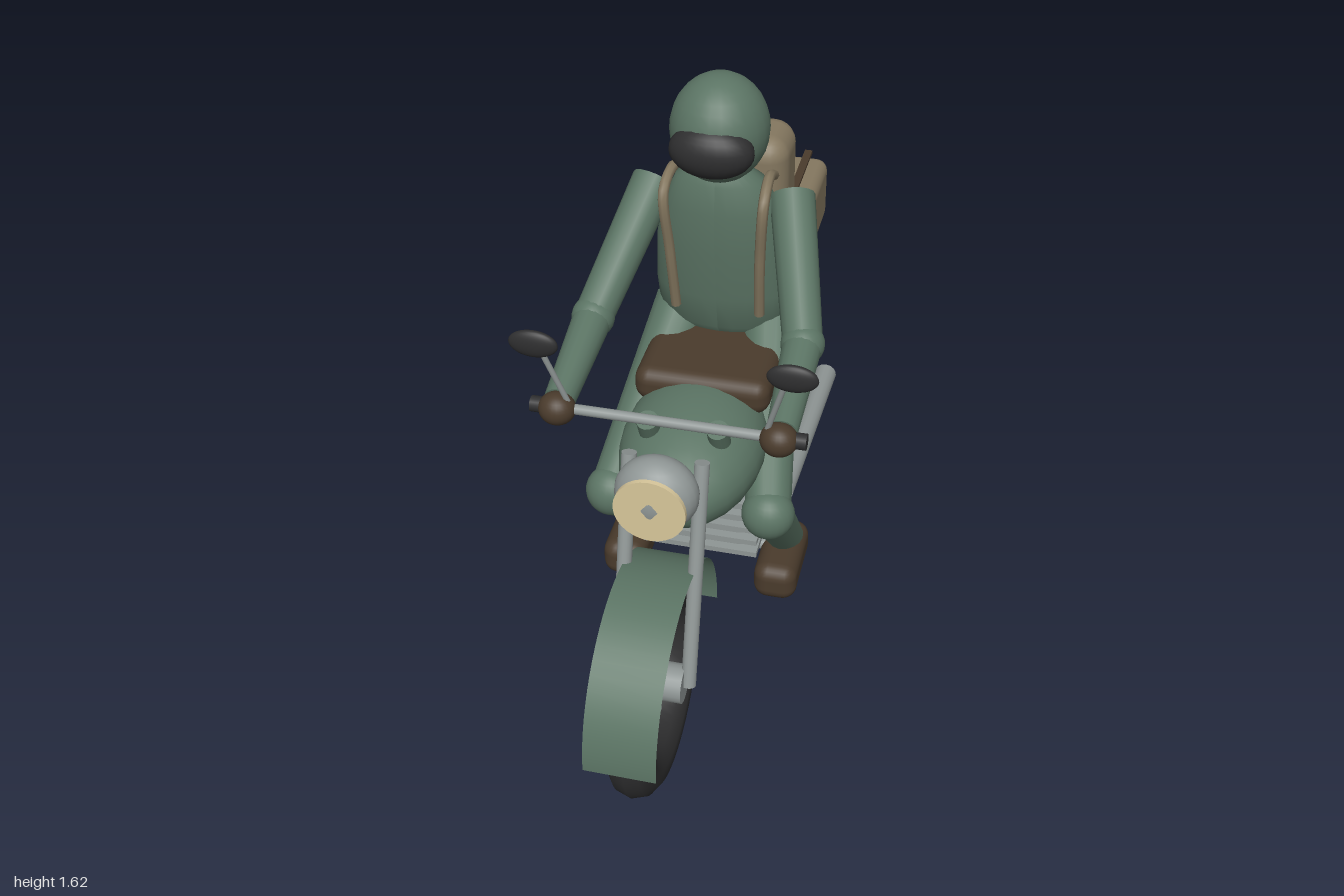
import * as THREE from 'three';
import { RoundedBoxGeometry } from 'three/addons/geometries/RoundedBoxGeometry.js';

const mat = (name, color, side = THREE.FrontSide) => {
  const m = new THREE.MeshStandardMaterial({ color, side });
  m.name = name;
  return m;
};

export function createModel() {
  const green = mat('green', 0x5b7464, THREE.DoubleSide);
  const tan = mat('tan', 0x857860);
  const brown = mat('brown', 0x4a3b2c);
  const black = mat('black', 0x2e2e2f);
  const steel = mat('steel', 0x8f9695);
  const cream = mat('cream', 0xd8c79b);
  const red = mat('red', 0xb03020);

  const model = new THREE.Group();
  model.name = 'motorcycleAndRider';
  const V = (p) => new THREE.Vector3(...p);

  const add = (name, geo, material, pos = [0, 0, 0], parent = model) => {
    const m = new THREE.Mesh(geo, material);
    m.name = name;
    m.position.set(...pos);
    parent.add(m);
    return m;
  };
  const box = (name, size, r, material, pos) =>
    add(name, new RoundedBoxGeometry(...size, 3, r), material, pos);
  const ball = (name, radii, material, pos) =>
    add(name, new THREE.SphereGeometry(1, 24, 16).scale(...radii), material, pos);
  // Tapered rod from a (radius ra) to b (radius rb)
  const rod = (name, a, b, ra, rb, material, parent = model, sides = 16) => {
    const d = V(b).sub(V(a));
    const m = add(name, new THREE.CylinderGeometry(rb, ra, d.length(), sides), material, [0, 0, 0], parent);
    m.position.copy(V(a).addScaledVector(d, 0.5));
    m.quaternion.setFromUnitVectors(new THREE.Vector3(0, 1, 0), d.normalize());
    return m;
  };

  // Wheels with spokes, hubs and half-round fenders
  for (const [label, z] of [['front', 0.68], ['rear', -0.68]]) {
    const wheel = new THREE.Group();
    wheel.name = label + 'Wheel';
    wheel.position.set(0, 0.3, z);
    model.add(wheel);
    add('tyre', new THREE.TorusGeometry(0.236, 0.06, 10, 48).rotateY(Math.PI / 2), black, [0, 0, 0], wheel);
    add('hub', new THREE.CylinderGeometry(0.05, 0.05, 0.16, 20).rotateZ(Math.PI / 2), steel, [0, 0, 0], wheel);
    for (let i = 0; i < 20; i++) {
      const t = (i / 20) * Math.PI * 2;
      const c = Math.cos(t), s = Math.sin(t);
      rod('spoke', [0, c * 0.04, s * 0.04], [0, c * 0.19, s * 0.19], 0.004, 0.004, steel, wheel, 6);
    }
    add(label + 'Fender',
      new THREE.CylinderGeometry(0.32, 0.32, 0.18, 28, 1, true, 0, Math.PI).rotateZ(Math.PI / 2),
      green, [0, 0.3, z]);
  }

  // Headlight
  ball('headlightShell', [0.103, 0.1, 0.075], steel, [0, 0.85, 0.605]);
  add('headlightLens', new THREE.CylinderGeometry(0.088, 0.088, 0.012, 28).rotateX(Math.PI / 2),
    cream, [0, 0.85, 0.672]);

  // Tank and its caps
  ball('tank', [0.188, 0.142, 0.275], green, [0, 0.715, 0.24]).rotation.x = 0.08;

  // Seat and luggage
  box('seat', [0.36, 0.1, 0.7], 0.04, brown, [0, 0.825, -0.17]);
  box('topBox', [0.35, 0.195, 0.295], 0.035, tan, [0, 0.975, -0.578]);
  box('backpack', [0.305, 0.38, 0.19], 0.06, tan, [0, 1.21, -0.235]);
  box('backpackPocket', [0.215, 0.155, 0.06], 0.025, brown, [0, 1.137, -0.342]);

  // Engine with cooling fins
  box('engineBlock', [0.27, 0.27, 0.29], 0.035, steel, [0, 0.425, 0.02]);
  for (let i = 0; i < 6; i++)
    add('coolingFin', new THREE.BoxGeometry(0.32, 0.016, 0.23), steel, [0, 0.315 + i * 0.042, 0.075]);
  rod('footPegBar', [-0.18, 0.265, 0.08], [0.18, 0.265, 0.08], 0.018, 0.018, steel);

  // Tail light, number plate and exhaust
  add('tailLight', new THREE.BoxGeometry(0.12, 0.07, 0.036), red, [0, 0.675, -0.64]);
  add('rearPlate', new THREE.BoxGeometry(0.14, 0.085, 0.006), steel, [0, 0.533, -0.8]);
  rod('exhaust', [0.19, 0.35, -0.05], [0.2, 0.318, -0.69], 0.026, 0.034, steel);

  // Handlebar
  rod('handlebar', [-0.3, 0.98, 0.5], [0.3, 0.98, 0.5], 0.013, 0.013, steel);

  // Rider's torso: a flattened lathe leaning forward
  const profile = [[0, 0.82], [0.12, 0.84], [0.18, 0.9], [0.185, 1.0], [0.175, 1.15],
    [0.15, 1.26], [0.115, 1.34], [0.06, 1.38], [0, 1.385]];
  const torso = new THREE.LatheGeometry(profile.map((p) => new THREE.Vector2(...p)), 28);
  const tp = torso.attributes.position;
  for (let i = 0; i < tp.count; i++)
    tp.setZ(i, tp.getZ(i) * 0.6 - 0.14 + (tp.getY(i) - 0.9) * 0.17);
  torso.computeVertexNormals();
  add('torso', torso, green);

  // Helmet and visor
  ball('helmet', [0.125, 0.14, 0.13], green, [0, 1.48, -0.055]);
  ball('visor', [0.107, 0.07, 0.062], black, [0, 1.46, 0.037]);

  // Mirrored parts
  for (const s of [1, -1]) {
    const side = s > 0 ? 'left' : 'right';
    const X = (x, y, z) => [s * x, y, z];

    // Bike
    rod(side + 'Fork', X(0.09, 0.3, 0.68), X(0.09, 0.89, 0.52), 0.019, 0.019, steel);
    rod(side + 'Shock', X(0.11, 0.31, -0.67), X(0.11, 0.77, -0.34), 0.018, 0.018, steel);
    rod(side + 'Swingarm', X(0.105, 0.35, -0.06), X(0.105, 0.315, -0.69), 0.036, 0.028, steel);
    rod(side + 'TankCap', X(0.09, 0.78, 0.32), X(0.09, 0.865, 0.358), 0.028, 0.028, green);
    rod(side + 'Grip', X(0.25, 0.98, 0.5), X(0.336, 0.98, 0.5), 0.02, 0.02, black);
    rod(side + 'MirrorStem', X(0.235, 0.98, 0.5), X(0.288, 1.17, 0.54), 0.007, 0.007, steel);
    ball(side + 'Mirror', [0.06, 0.036, 0.017], black, X(0.304, 1.187, 0.542));
    add(side + 'LuggageStrap', new THREE.BoxGeometry(0.022, 0.012, 0.305), brown, X(0.112, 1.075, -0.58));

    // Arm and glove
    rod(side + 'UpperArm', X(0.18, 1.29, -0.09), X(0.268, 1.045, 0.2), 0.058, 0.05, green);
    ball(side + 'Elbow', [0.055, 0.055, 0.055], green, X(0.268, 1.045, 0.2));
    rod(side + 'Forearm', X(0.268, 1.045, 0.2), X(0.272, 0.985, 0.48), 0.05, 0.038, green);
    ball(side + 'Glove', [0.046, 0.042, 0.042], brown, X(0.27, 0.98, 0.505));

    // Leg and boot
    ball(side + 'Hip', [0.08, 0.08, 0.08], green, X(0.11, 0.9, -0.165));
    rod(side + 'Thigh', X(0.12, 0.89, -0.15), X(0.21, 0.565, 0.295), 0.08, 0.06, green);
    ball(side + 'Knee', [0.07, 0.07, 0.064], green, X(0.21, 0.565, 0.295));
    rod(side + 'Shin', X(0.21, 0.565, 0.285), X(0.215, 0.27, 0.04), 0.06, 0.05, green);
    box(side + 'Boot', [0.12, 0.112, 0.25], 0.04, brown, X(0.215, 0.238, 0.1));

    // Shoulder strap running over the shoulder and down the chest
    const path = new THREE.CatmullRomCurve3([
      X(0.12, 1.31, -0.15), X(0.125, 1.35, -0.06), X(0.128, 1.32, 0.018),
      X(0.118, 1.15, 0.005), X(0.112, 0.96, -0.03)].map(V));
    add(side + 'ShoulderStrap', new THREE.TubeGeometry(path, 24, 0.014, 8), tan);
  }

  return model;
}
